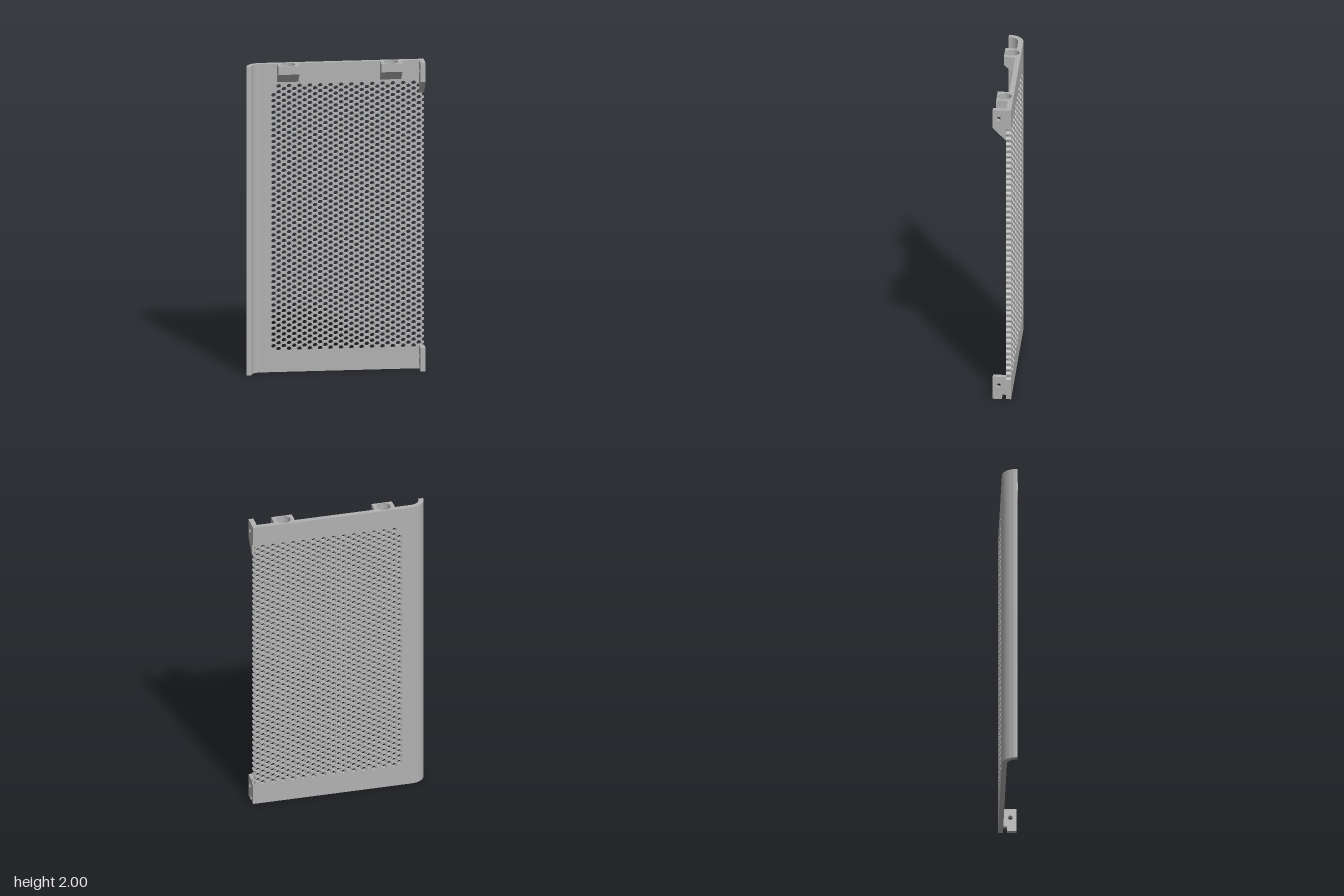
import * as THREE from 'three';
import { toCreasedNormals } from 'three/addons/utils/BufferGeometryUtils.js';

const BACK = -0.058, FACE = -0.026;      // z of the panel's two faces
const EDGE = 0.565;                      // panel half width
const BEND_X = -0.468, BEND_Z = 0.039;   // centre of the rounded side
const R_OUT = 0.097, R_IN = 0.065;
const LEDGE = 1.945;                     // where the top strip begins
const BLOCKS = [-0.298, 0.353], BLOCK_HALF = 0.067, BLOCK_Z = 0.047;

const extrude = (shape, depth, curveSegments = 12) =>
  toCreasedNormals(new THREE.ExtrudeGeometry(shape, { depth, curveSegments, bevelEnabled: false }), 0.6);

// Outline in (x, -z), raised from y0 to y1
const upright = (shape, y0, y1) => extrude(shape, y1 - y0).rotateX(-Math.PI / 2).translate(0, y0, 0);

// Outline in (z, y), running left from x1 by width
const sideways = (shape, x1, width) => extrude(shape, width).rotateY(-Math.PI / 2).translate(x1, 0, 0);

const polygon = (points) => new THREE.Shape(points.map(([x, y]) => new THREE.Vector2(x, y)));

function addHole(shape, x, y, r) {
  const hole = new THREE.Path();
  hole.absarc(x, y, r, 0, Math.PI * 2, true);
  shape.holes.push(hole);
}

// Quarter-round lip, open towards the flat panel
function bendOutline() {
  const s = new THREE.Shape();
  s.absarc(BEND_X, -BEND_Z, R_OUT, Math.PI / 2, Math.PI, false);
  s.absarc(BEND_X, -BEND_Z, R_IN, Math.PI, Math.PI / 2, true);
  return s;
}

// Flat panel with staggered round holes, cut in half along its free edge
function perforatedPanel() {
  const r = 0.0152, dx = 0.0328, pitch = 0.03787, bottom = 0.148;
  const s = new THREE.Shape();
  s.moveTo(BEND_X, 0);
  s.lineTo(EDGE, 0);
  for (let i = 0; i < 46; i++) s.absarc(EDGE, bottom + i * pitch, r, -Math.PI / 2, Math.PI / 2, true);
  s.lineTo(EDGE, LEDGE);
  s.lineTo(BEND_X, LEDGE);
  for (let c = 1; c < 30; c++) {
    const odd = c % 2;
    const rows = c === 29 ? 44 : 46 - odd;
    for (let i = 0; i < rows; i++) addHole(s, EDGE - c * dx, bottom + (i + odd / 2) * pitch, r);
  }
  return extrude(s, FACE - BACK, 6).translate(0, 0, BACK);
}

// Top strip: panel thickness plus two socket blocks with blind round holes
function topStripOutline() {
  const s = new THREE.Shape();
  s.moveTo(BEND_X, -FACE);
  for (const x of BLOCKS) {
    s.lineTo(x - BLOCK_HALF, -FACE);
    s.lineTo(x - BLOCK_HALF, -BLOCK_Z);
    s.lineTo(x + BLOCK_HALF, -BLOCK_Z);
    s.lineTo(x + BLOCK_HALF, -FACE);
  }
  s.lineTo(EDGE, -FACE);
  s.lineTo(EDGE, -BACK);
  s.lineTo(BEND_X, -BACK);
  for (const x of BLOCKS) addHole(s, x, 0.002, 0.0445);
  return s;
}

export function createModel() {
  const group = new THREE.Group();
  const grey = new THREE.MeshStandardMaterial({ color: 0xb2b2b2 });
  grey.name = 'grey';
  const add = (name, geometry) => {
    const mesh = new THREE.Mesh(geometry, grey);
    mesh.name = name;
    group.add(mesh);
  };

  add('perforatedPanel', perforatedPanel());
  add('roundedSide', upright(bendOutline(), 0, 2));
  add('topStrip', upright(topStripOutline(), LEDGE, 2));

  // Sloped undersides of the socket blocks
  for (const x of BLOCKS) {
    const wedge = polygon([[FACE, 1.88], [BLOCK_Z, LEDGE], [FACE, LEDGE]]);
    add('socketWedge', sideways(wedge, x + BLOCK_HALF, BLOCK_HALF * 2));
  }

  // Mounting tabs with screw holes
  const upper = polygon([[FACE, 1.79], [0.058, 1.877], [0.058, 2], [FACE, 2]]);
  addHole(upper, 0.02, 1.94, 0.014);
  add('upperTab', sideways(upper, EDGE, 0.032));

  const lower = polygon([[0, 0], [0.058, 0], [0.058, 0.153], [FACE, 0.153], [FACE, 0.03], [0, 0.03]]);
  addHole(lower, 0.02, 0.092, 0.014);
  add('lowerTab', sideways(lower, EDGE, 0.032));

  return group;
}
